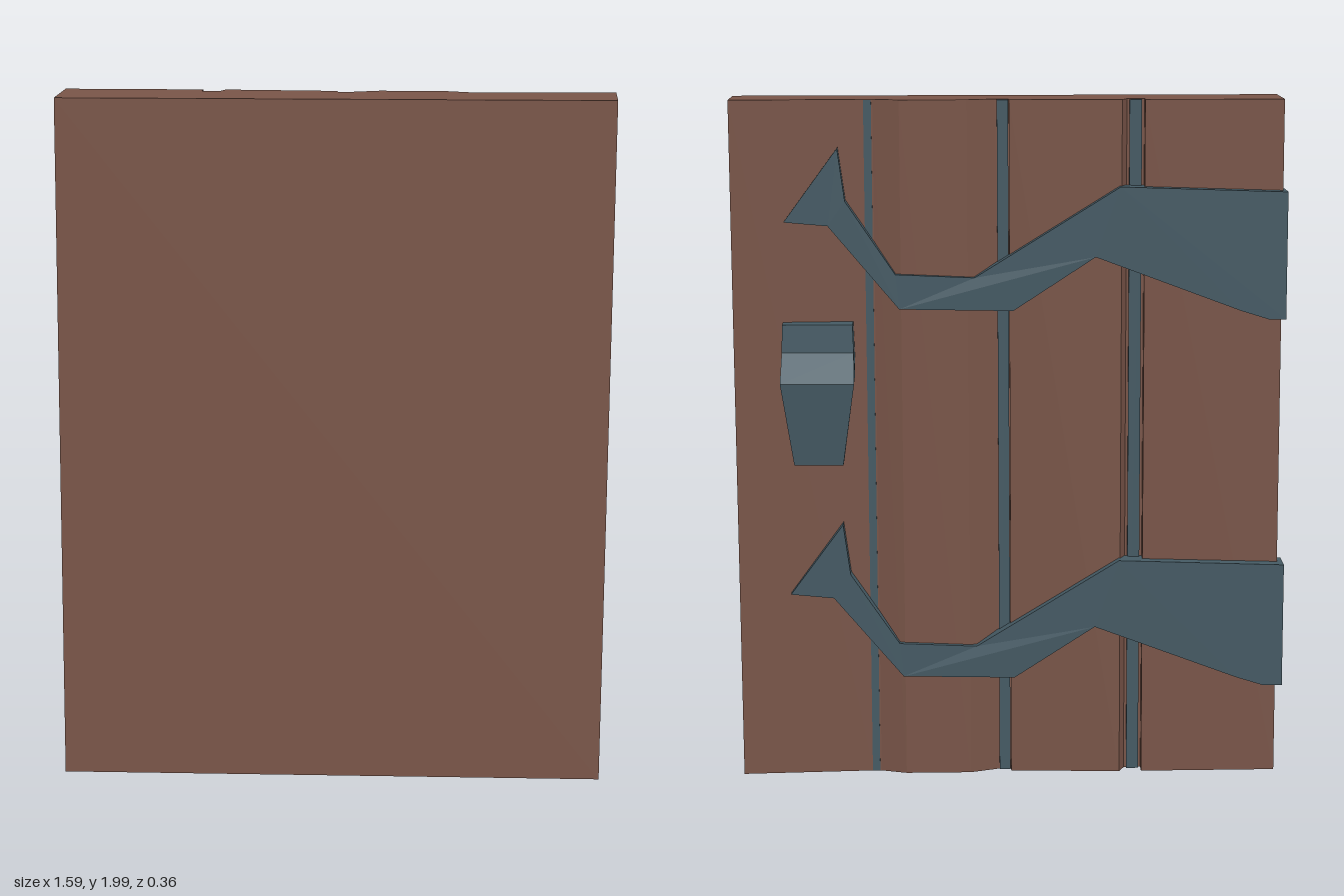
import * as THREE from 'three';

const wood = new THREE.MeshStandardMaterial({ color: 0x795548, flatShading: true });
const iron = new THREE.MeshStandardMaterial({ color: 0x455a64, flatShading: true });

const shapeOf = (points) => new THREE.Shape(points.map(([x, y]) => new THREE.Vector2(x, y)));
const extrude = (points, depth) =>
  new THREE.ExtrudeGeometry(shapeOf(points), { depth, bevelEnabled: false });

// Move every vertex of a geometry by a rule
function warp(geometry, rule) {
  const p = geometry.attributes.position;
  const v = new THREE.Vector3();
  for (let i = 0; i < p.count; i++) {
    rule(v.fromBufferAttribute(p, i));
    p.setXYZ(i, v.x, v.y, v.z);
  }
  geometry.computeVertexNormals();
  return geometry;
}

// Piecewise linear lookup through [x, value] pairs sorted by x
function lookup(table, x) {
  if (x <= table[0][0]) return table[0][1];
  for (let i = 1; i < table.length; i++) {
    const [x0, a] = table[i - 1], [x1, b] = table[i];
    if (x <= x1) return a + (b - a) * (x - x0) / (x1 - x0);
  }
  return table[table.length - 1][1];
}

export function createModel() {
  const group = new THREE.Group();

  // The whole door leans back a little towards its top
  function add(name, geometry, material) {
    warp(geometry, (v) => {
      v.z += 0.021 * (2 - v.y);
      v.x += 0.004 * (v.y - 1);
    });
    const mesh = new THREE.Mesh(geometry, material);
    mesh.name = name;
    group.add(mesh);
  }

  // Door slab: plan outline with uneven planks and grooves on the back
  const plan = [
    [-0.78, 0.14], [0.79, 0.096], [0.79, -0.085], [0.41, -0.058], [0.385, -0.058],
    [0.31, -0.083], [0.12, -0.08], [0.04, -0.048], [0.0, -0.048], [0.0, -0.066],
    [-0.32, -0.076], [-0.335, -0.04], [-0.385, -0.036], [-0.385, -0.074], [-0.78, -0.065],
  ];
  const slab = extrude(plan.map(([x, z]) => [x, -z]), 1.987).rotateX(-Math.PI / 2);
  add('doorSlab', slab.translate(0, 0.007, 0), wood);

  // Iron strips between the planks: x, width, outer z
  for (const [x, width, z] of [[-0.36, 0.035, -0.049], [0.018, 0.032, -0.056], [0.4, 0.022, -0.061]]) {
    add('seamStrip', new THREE.BoxGeometry(width, 1.984, 0.04).translate(x, 1, z + 0.02), iron);
  }

  // Strap hinges with a wavy arm and a spear-shaped tip
  const strap = [
    [-0.79, 1.37], [-0.74, 1.37], [-0.66, 1.395], [-0.245, 1.55], [-0.01, 1.395],
    [0.315, 1.4], [0.515, 1.64], [0.64, 1.65], [0.485, 1.86], [0.465, 1.71],
    [0.325, 1.5], [0.1, 1.49], [-0.315, 1.75], [-0.79, 1.735],
  ];
  const outerZ = [[-0.79, -0.106], [-0.315, -0.108], [0, -0.1], [0.1, -0.096],
    [0.32, -0.1], [0.5, -0.108], [0.64, -0.1]];
  for (const [name, drop, out] of [['upperHinge', 0, 0], ['lowerHinge', 1.09, 0.006]]) {
    const geometry = warp(extrude(strap, 1), (v) => {
      v.z = v.z > 0.5 ? -0.015 : lookup(outerZ, v.x);
      if (v.x < -0.78) v.x -= out;
      v.y -= drop;
    });
    add(name, geometry, iron);
  }

  // Handle: side profile [z, y] spread along x, narrowing towards its lower end
  const grip = [
    [-0.05, 1.36], [-0.125, 1.36], [-0.13, 1.28], [-0.197, 1.2],
    [-0.172, 0.96], [-0.127, 0.965], [-0.115, 1.21], [-0.05, 1.26],
  ];
  const handle = warp(extrude(grip, 1), (v) => {
    const width = lookup([[0.96, 0.14], [1.2, 0.21], [1.36, 0.2]], v.y);
    const [z, side] = [v.x, v.z - 0.5];
    v.set(0.548 - side * width, v.y, z);
  });
  add('handle', handle, iron);

  return group;
}
